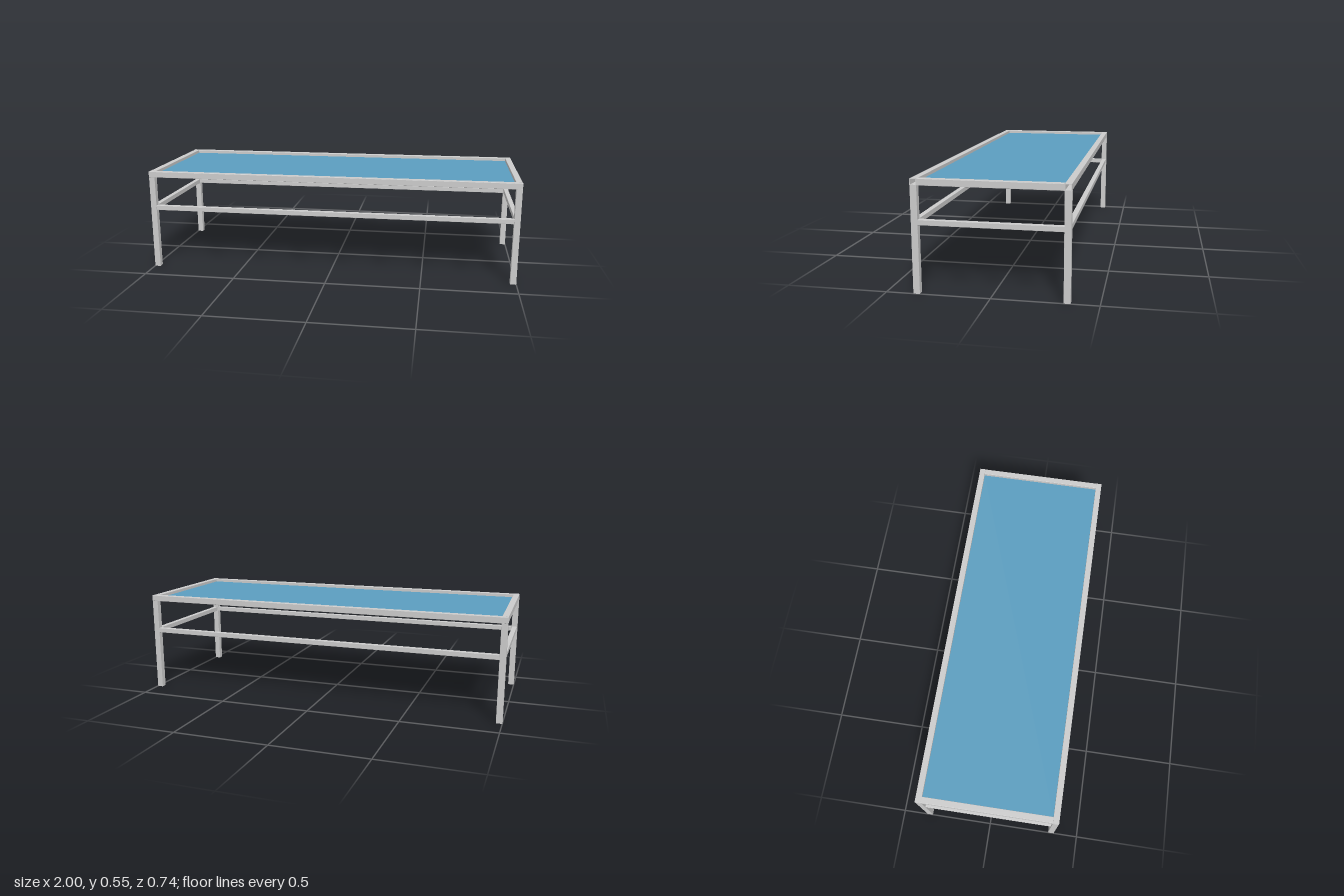
import * as THREE from 'three';

const HALF_X = 1, HALF_Z = 0.368, HEIGHT = 0.545;
const TUBE = 0.032, RAIL = 0.026, RAIL_Y = 0.341;

const steel = new THREE.MeshStandardMaterial({ color: 0xcccccc });
const glass = new THREE.MeshStandardMaterial({ color: 0x5b9dbf });

// Square outline with softened corners
function roundedSquare(path, size, r) {
  const h = size / 2;
  path.moveTo(-h + r, -h);
  path.lineTo(h - r, -h);
  path.quadraticCurveTo(h, -h, h, -h + r);
  path.lineTo(h, h - r);
  path.quadraticCurveTo(h, h, h - r, h);
  path.lineTo(-h + r, h);
  path.quadraticCurveTo(-h, h, -h, h - r);
  path.lineTo(-h, -h + r);
  path.quadraticCurveTo(-h, -h, -h + r, -h);
  return path;
}

// Hollow square tube centred on its origin, running along the given axis
function tube(name, size, length, axis, x, y, z) {
  const outline = roundedSquare(new THREE.Shape(), size, 0.002);
  outline.holes.push(roundedSquare(new THREE.Path(), size - 0.006, 0.001));
  const geo = new THREE.ExtrudeGeometry(outline, { depth: length, bevelEnabled: false, curveSegments: 3 });
  geo.translate(0, 0, -length / 2);
  if (axis === 'x') geo.rotateY(Math.PI / 2);
  if (axis === 'y') geo.rotateX(Math.PI / 2);
  const mesh = new THREE.Mesh(geo, steel);
  mesh.name = name;
  mesh.position.set(x, y, z);
  return mesh;
}

export function createModel() {
  const table = new THREE.Group();
  table.name = 'coffeeTable';
  const cx = HALF_X - TUBE / 2, cz = HALF_Z - TUBE / 2;
  const innerX = 2 * (HALF_X - TUBE), innerZ = 2 * (HALF_Z - TUBE);
  const topY = HEIGHT - TUBE / 2, legH = HEIGHT - TUBE;

  for (const s of [-1, 1]) {
    const end = s > 0 ? 'left' : 'right', side = s > 0 ? 'front' : 'back';
    // Top frame
    table.add(tube(side + 'TopRail', TUBE, 2 * HALF_X, 'x', 0, topY, s * cz));
    table.add(tube(end + 'TopRail', TUBE, innerZ, 'z', s * cx, topY, 0));
    // Lower stretchers
    table.add(tube(side + 'Stretcher', RAIL, innerX, 'x', 0, RAIL_Y, s * cz));
    table.add(tube(end + 'Stretcher', RAIL, innerZ, 'z', s * cx, RAIL_Y, 0));
    // Legs
    for (const t of [-1, 1]) {
      const name = (t > 0 ? 'front' : 'back') + (s > 0 ? 'Left' : 'Right') + 'Leg';
      table.add(tube(name, TUBE, legH, 'y', s * cx, legH / 2, t * cz));
    }
  }

  // Glass panel recessed inside the frame
  const panel = new THREE.Mesh(new THREE.BoxGeometry(innerX, 0.008, innerZ), glass);
  panel.name = 'glassTop';
  panel.position.y = 0.524;
  table.add(panel);

  return table;
}
